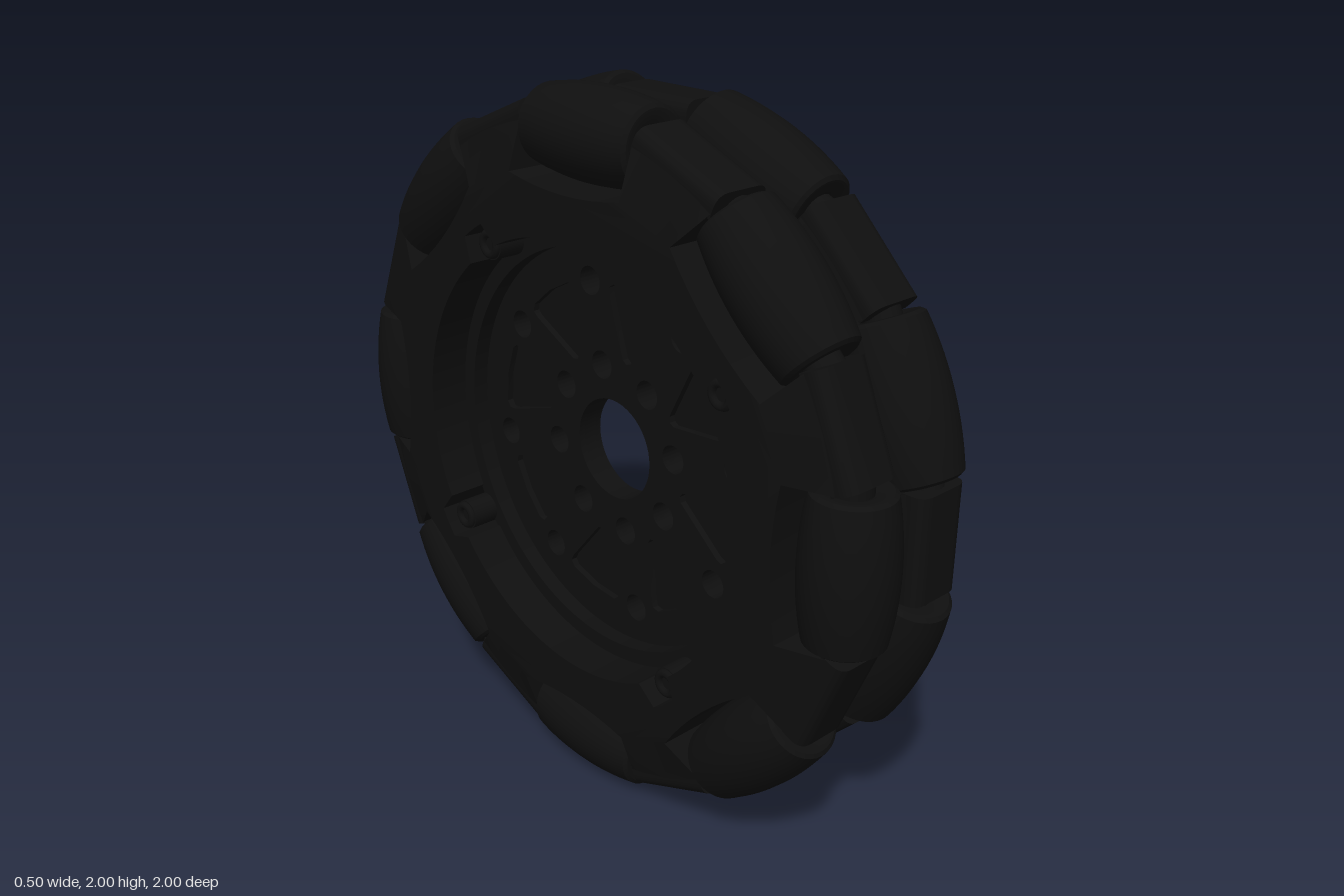
import * as THREE from 'three';
import { toCreasedNormals } from 'three/addons/utils/BufferGeometryUtils.js';

const DEG = Math.PI / 180;
const ROW_X = 0.122, ROLLER_R = 0.875, SLOT_HALF = 0.213, ARM_R = 0.915;
const SCREW_R = 0.64;
const black = new THREE.MeshStandardMaterial({ color: 0x0f0f0f });

// Angles run from +y towards +z; shapes are drawn so that +z extrusion becomes +x.
function polar(deg, r, side = 0) {
  const a = deg * DEG;
  return new THREE.Vector2(-(r * Math.sin(a) + side * Math.cos(a)), r * Math.cos(a) - side * Math.sin(a));
}

function add(parent, name, geometry) {
  const mesh = new THREE.Mesh(geometry, black);
  mesh.name = name;
  parent.add(mesh);
  return mesh;
}

function spoke(parent, name, deg) {
  const g = new THREE.Group();
  g.name = name;
  g.rotation.x = deg * DEG;
  parent.add(g);
  return g;
}

function circle(r, center = new THREE.Vector2()) {
  return new THREE.Path().absarc(center.x, center.y, r, 0, Math.PI * 2, true);
}

function disc(r) {
  return new THREE.Shape().absarc(0, 0, r, 0, Math.PI * 2, false);
}

// Extrudes a shape along x between two positions
function slab(shape, x0, x1, segments = 24) {
  const g = new THREE.ExtrudeGeometry(shape, { depth: x1 - x0, bevelEnabled: false, curveSegments: segments });
  g.rotateY(Math.PI / 2);
  g.translate(x0, 0, 0);
  return toCreasedNormals(g, 0.5);
}

// One half of the rim: a ring with eight roller slots and arms that thin outwards
function rimGeometry(side, firstSlot, firstScrew) {
  const outline = [];
  const edge = Math.asin(SLOT_HALF / ARM_R) / DEG;
  for (let k = 0; k < 8; k++) {
    const a = firstSlot + k * 45;
    // Slot floor follows the barrel with a small clearance
    for (let i = -4; i <= 4; i++) {
      const t = SLOT_HALF * i / 4;
      outline.push(polar(a, 1.741 - Math.sqrt(1 - t * t), t));
    }
    for (let i = 0; i <= 6; i++) outline.push(polar(a + edge + (45 - 2 * edge) * i / 6, ARM_R));
  }
  const shape = new THREE.Shape(outline);
  // Opening with a notch round each screw
  const opening = [];
  for (let d = 0; d < 360; d += 2.5) {
    const off = Math.abs(((d - firstScrew + 405) % 90) - 45);
    opening.push(polar(d, off < 6 ? 0.69 : 0.62));
  }
  shape.holes.push(new THREE.Path(opening));
  const g = new THREE.ExtrudeGeometry(shape, { depth: 1, bevelEnabled: false });
  g.rotateY(Math.PI / 2);
  const p = g.attributes.position;
  for (let i = 0; i < p.count; i++) {
    const arm = Math.hypot(p.getY(i), p.getZ(i)) > 0.82;
    const inner = arm ? 0.037 : 0, outer = arm ? 0.207 : 0.249;
    const isOuter = (p.getX(i) > 0.5) === (side > 0);
    p.setX(i, side * (isOuter ? outer : inner));
  }
  return toCreasedNormals(g, 0.5);
}

// Rounded cap closing the end of an arm
function armTipGeometry() {
  const w = 0.085, base = 0.89, top = 0.957, r = 0.04, half = 0.146;
  const shape = new THREE.Shape()
    .moveTo(-w, base).lineTo(w, base).lineTo(w, top - r)
    .quadraticCurveTo(w, top, w - r, top).lineTo(r - w, top)
    .quadraticCurveTo(-w, top, -w, top - r);
  const g = new THREE.ExtrudeGeometry(shape, { depth: 2 * half, bevelEnabled: false, curveSegments: 8 });
  g.translate(0, 0, -half);
  return toCreasedNormals(g, 0.5);
}

// Barrel whose long profile follows the rolling circle of radius 1
function rollerGeometry() {
  const half = 0.203;
  const pts = [[0.045, -half + 0.012], [0.07, -half], [0.095, -half]];
  for (let i = 0; i <= 14; i++) {
    const t = (i / 7 - 1) * (half - 0.008);
    pts.push([Math.sqrt(1 - t * t) - ROLLER_R, t]);
  }
  pts.push([0.095, half], [0.07, half], [0.045, half - 0.012]);
  const g = new THREE.LatheGeometry(pts.map(([r, t]) => new THREE.Vector2(r, t)), 32);
  g.rotateX(Math.PI / 2);
  return toCreasedNormals(g, 0.6);
}

// Plate outline with bore and bolt holes, optionally with triangular pockets
function plateShape(pockets) {
  const shape = disc(0.63);
  shape.holes.push(circle(0.145));
  for (let k = 0; k < 8; k++) {
    const a = -11.25 + k * 45;
    shape.holes.push(circle(0.04, polar(a, 0.24)), circle(0.04, polar(a, 0.472)));
    if (!pockets) continue;
    const b = a + 22.5;
    shape.holes.push(new THREE.Path([
      polar(b, 0.275, -0.015), polar(b, 0.43, -0.1), polar(b, 0.45, -0.105), polar(b, 0.465, -0.09),
      polar(b, 0.475, 0), polar(b, 0.465, 0.09), polar(b, 0.45, 0.105), polar(b, 0.43, 0.1),
      polar(b, 0.275, 0.015), polar(b, 0.268, 0),
    ]));
  }
  return shape;
}

export function createModel() {
  const wheel = new THREE.Group();
  wheel.name = 'omniWheel';

  // Centre plate, set off the middle: thin web between two pocketed layers
  add(wheel, 'centreWeb', slab(plateShape(false), -0.063, -0.024));
  const layer = plateShape(true);
  add(wheel, 'pocketLayerLeft', slab(layer, -0.024, -0.005));
  add(wheel, 'pocketLayerRight', slab(layer, -0.082, -0.063));

  // Stepped ledge round the plate
  const ledge = disc(0.63);
  ledge.holes.push(circle(0.575));
  add(wheel, 'innerLedge', slab(ledge, -0.13, 0.05, 48));

  const roller = rollerGeometry();
  const armTip = armTipGeometry();
  const pin = new THREE.CylinderGeometry(0.05, 0.05, 0.45, 16).rotateX(Math.PI / 2);
  const post = new THREE.CylinderGeometry(0.045, 0.045, 0.21, 20).rotateZ(Math.PI / 2);
  const head = new THREE.TorusGeometry(0.03, 0.012, 8, 20).rotateY(Math.PI / 2);

  for (const side of [1, -1]) {
    const firstSlot = side > 0 ? 22.5 : 0;
    const firstScrew = side > 0 ? 11.25 : 56.25;
    add(wheel, side > 0 ? 'rimLeft' : 'rimRight', rimGeometry(side, firstSlot, firstScrew));

    // Rollers on their pins, with an arm between each pair
    for (let k = 0; k < 8; k++) {
      const g = spoke(wheel, 'rollerUnit', firstSlot + k * 45);
      add(g, 'roller', roller).position.set(side * ROW_X, ROLLER_R, 0);
      add(g, 'rollerPin', pin).position.set(side * ROW_X, ROLLER_R, 0);
      const arm = spoke(wheel, 'armUnit', firstSlot + 22.5 + k * 45);
      add(arm, 'armTip', armTip).position.x = side * ROW_X;
    }

    // Screw posts in the notches
    for (let k = 0; k < 4; k++) {
      const g = spoke(wheel, 'screwUnit', firstScrew + k * 90);
      add(g, 'screwPost', post).position.set(side * 0.105, SCREW_R, 0);
      add(g, 'screwHead', head).position.set(side * 0.211, SCREW_R, 0);
    }
  }

  // Rest the wheel on the ground
  wheel.children.forEach((c) => { c.position.y += 1; });
  return wheel;
}
